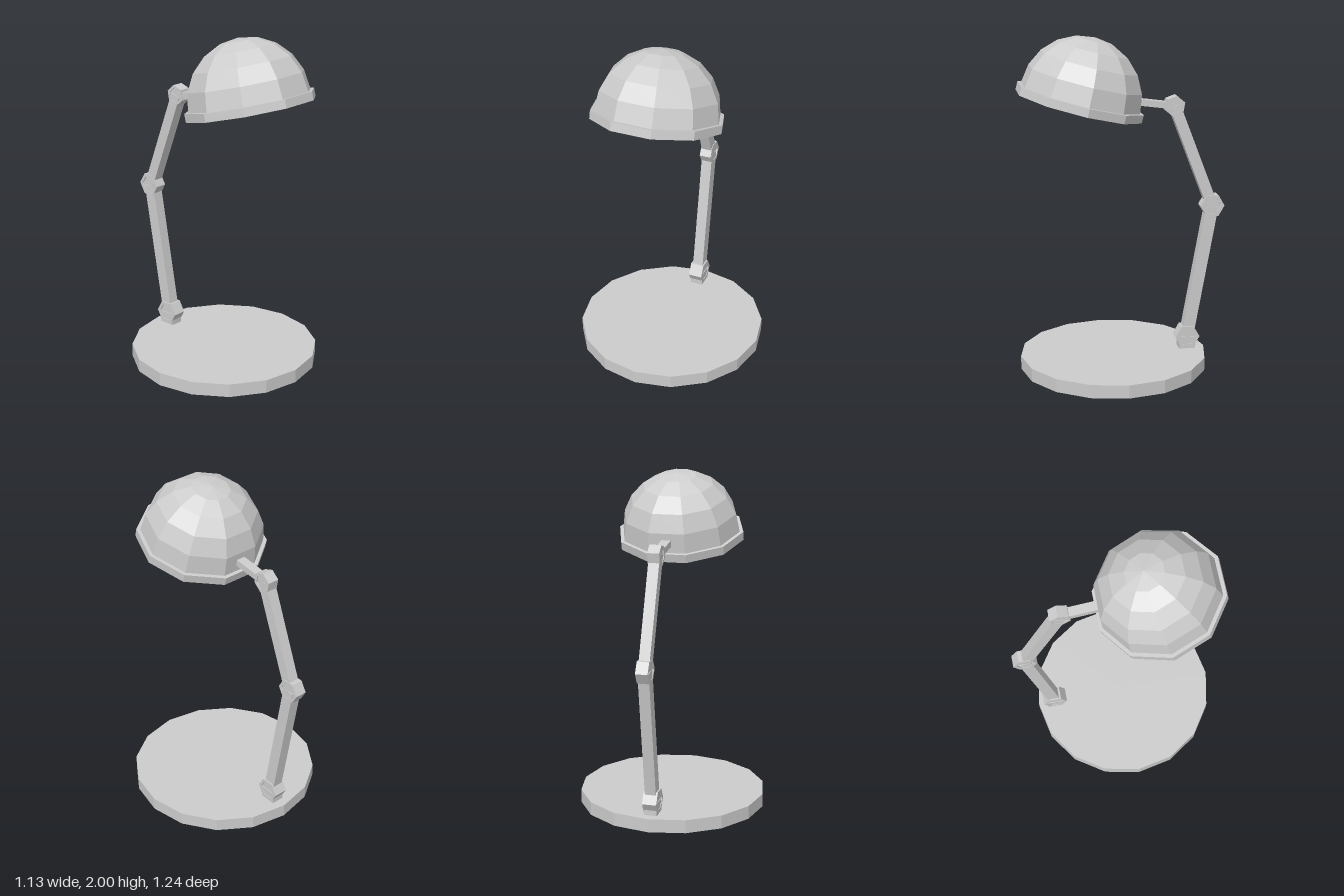
import * as THREE from 'three';

const material = new THREE.MeshStandardMaterial({ color: 0xcccccc, flatShading: true });

function add(parent, name, geometry, x = 0, y = 0, z = 0) {
  const mesh = new THREE.Mesh(geometry, material);
  mesh.name = name;
  mesh.position.set(x, y, z);
  parent.add(mesh);
  return mesh;
}

// Square-section bar between two [y, z] points in the plane x = 0
function bar(parent, name, [y0, z0], [y1, z1], width, depth) {
  const length = Math.hypot(y1 - y0, z1 - z0);
  const mesh = add(parent, name, new THREE.BoxGeometry(width, length, depth), 0, (y0 + y1) / 2, (z0 + z1) / 2);
  mesh.rotation.x = Math.atan2(z1 - z0, y1 - y0);
}

// Hexagonal knuckle across x with a shallow recess in both end faces
function joint(parent, name, [y, z], radius, width, turn = 0) {
  const h = width / 2, inner = radius * 0.72, d = 0.008;
  const profile = [
    [0, d - h], [inner, d - h], [inner, -h], [radius, -h],
    [radius, h], [inner, h], [inner, h - d], [0, h - d],
  ].map(([r, t]) => new THREE.Vector2(r, t));
  const geometry = new THREE.LatheGeometry(profile, 6).rotateZ(Math.PI / 2);
  add(parent, name, geometry, 0, y, z).rotation.x = turn;
}

// Quarter arc of a dome, from pole to equator in 18 degree steps
function domeArc(radius) {
  return Array.from({ length: 6 }, (_, i) => {
    const a = i * Math.PI / 10;
    return new THREE.Vector2(radius * Math.sin(a), radius * Math.cos(a));
  });
}

export function createModel() {
  const model = new THREE.Group();
  model.name = 'deskLamp';
  const lamp = new THREE.Group();
  lamp.name = 'lamp';
  lamp.position.z = 0.06;
  lamp.rotation.y = -0.042;
  model.add(lamp);

  // Base disc and the foot of the arm
  add(lamp, 'base', new THREE.CylinderGeometry(0.564, 0.564, 0.08, 16), 0, 0.04, 0);
  const low = [0.155, -0.455], mid = [0.975, -0.6], high = [1.585, -0.365];
  add(lamp, 'armFoot', new THREE.BoxGeometry(0.078, 0.08, 0.1), 0, 0.115, low[1]);

  // Arm and knuckles
  joint(lamp, 'baseJoint', low, 0.075, 0.085);
  joint(lamp, 'elbowJoint', mid, 0.073, 0.072);
  joint(lamp, 'headJoint', high, 0.063, 0.07, -1.75);
  bar(lamp, 'lowerArm', low, mid, 0.066, 0.074);
  bar(lamp, 'upperArm', mid, high, 0.064, 0.066);
  bar(lamp, 'neck', high, [1.616, -0.135], 0.056, 0.038);

  // Tilted head: hollow ten-sided dome with a projecting rim
  const head = new THREE.Group();
  head.name = 'head';
  head.position.set(0, 1.645, 0.19);
  head.rotation.x = -0.253;
  lamp.add(head);

  const rim = [[0.35, 0], [0.35, -0.05], [0.382, -0.05], [0.382, 0]].map(([r, y]) => new THREE.Vector2(r, y));
  const shell = [...domeArc(0.335), ...rim, ...domeArc(0.36).reverse()];
  add(head, 'shade', new THREE.LatheGeometry(shell, 10).rotateY(Math.PI / 2));

  // Bulb and its socket inside the shade
  add(head, 'bulb', new THREE.SphereGeometry(0.06, 10, 8), 0, 0.02, 0);
  add(head, 'socket', new THREE.CylinderGeometry(0.04, 0.04, 0.28, 10), 0, 0.2, 0);

  return model;
}
